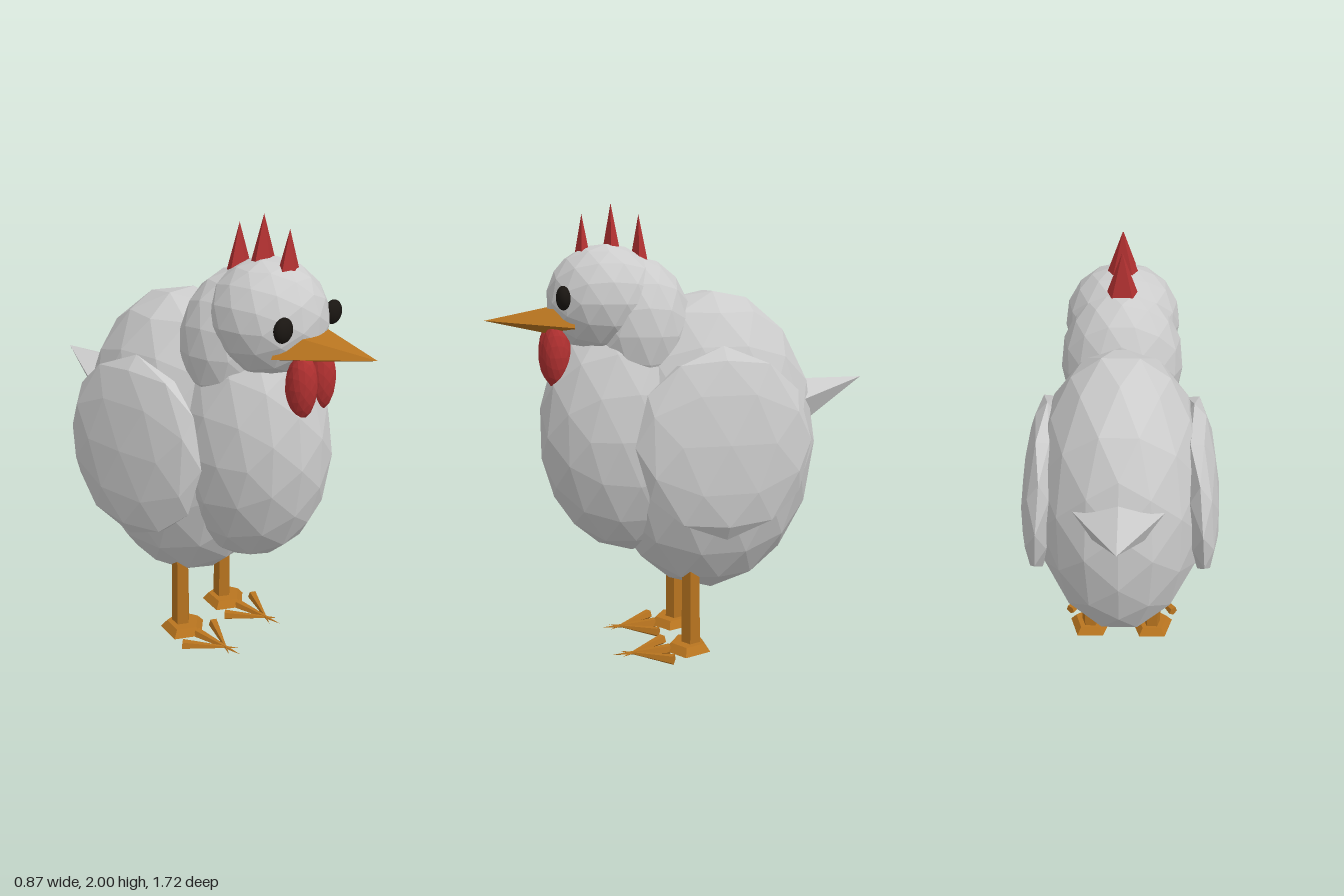
import * as THREE from 'three';

const mat = (color) => new THREE.MeshStandardMaterial({ color, flatShading: true });

export function createModel() {
  const group = new THREE.Group();
  const white = mat(0xcccccc);
  const orange = mat(0xb8741f);
  const red = mat(0xb03030);
  const black = new THREE.MeshStandardMaterial({ color: 0x1a1612 });

  const add = (name, geometry, material, [x, y, z], parent = group) => {
    const mesh = new THREE.Mesh(geometry, material);
    mesh.name = name;
    mesh.position.set(x, y, z);
    parent.add(mesh);
    return mesh;
  };
  // Faceted ellipsoid
  const blob = (name, radii, position, material = white, detail = 2) =>
    add(name, new THREE.IcosahedronGeometry(1, detail).scale(...radii), material, position);
  // Five-sided spike, one corner facing +z before any turning
  const spike = (radius, height, flatten = 1) =>
    new THREE.ConeGeometry(radius, height, 5).scale(1, 1, flatten);

  // Body masses
  blob('body', [0.39, 0.69, 0.5], [0, 0.955, -0.115]);
  blob('chest', [0.31, 0.55, 0.395], [0, 1.02, 0.25]);
  blob('neck', [0.27, 0.33, 0.24], [0, 1.45, 0.2]);
  blob('head', [0.255, 0.25, 0.255], [0, 1.585, 0.345]);

  // Beak
  add('beak', spike(0.195, 0.36, 0.41).rotateX(Math.PI / 2), orange, [0, 1.512, 0.68]);

  // Tail, tilted upward
  add('tail', spike(0.21, 0.38, 0.52).rotateX(-Math.PI / 2 + 0.28), white, [0, 1.172, -0.682]);

  // Comb
  for (const [z, tip] of [[0.44, 1.955], [0.315, 2], [0.195, 1.955]]) {
    add('comb', spike(0.092, 0.24, 0.5), red, [0, tip - 0.12, z]);
  }

  for (const side of [-1, 1]) {
    const label = side > 0 ? 'left' : 'right';

    // Face
    add(label + 'Eye', new THREE.SphereGeometry(1, 16, 12).scale(0.05, 0.05, 0.03), black,
      [side * 0.174, 1.61, 0.545]);
    blob(label + 'Wattle', [0.065, 0.14, 0.065], [side * 0.067, 1.36, 0.567], red, 2);

    // Wing, leaning in at the top
    const wing = blob(label + 'Wing', [0.09, 0.41, 0.385], [side * 0.345, 1.005, -0.1], white, 1);
    wing.rotation.z = side * 0.09;

    // Leg and foot
    const leg = new THREE.Group();
    leg.name = label + 'Leg';
    leg.position.x = side * 0.157;
    group.add(leg);
    add('shank', new THREE.CylinderGeometry(0.04, 0.045, 0.36, 5), orange, [0, 0.22, 0], leg);
    add('footPad', new THREE.CylinderGeometry(0.08, 0.11, 0.035, 5), orange, [0, 0.04, 0.015], leg);
    // Toes start apart and cross near their tips
    for (const t of [-1, 0, 1]) {
      const toe = add('toe', spike(0.025, 0.26).rotateX(Math.PI / 2), orange,
        [t * 0.04, 0.027, t ? 0.215 : 0.23], leg);
      toe.rotation.y = -t * 0.6;
    }
  }
  return group;
}
